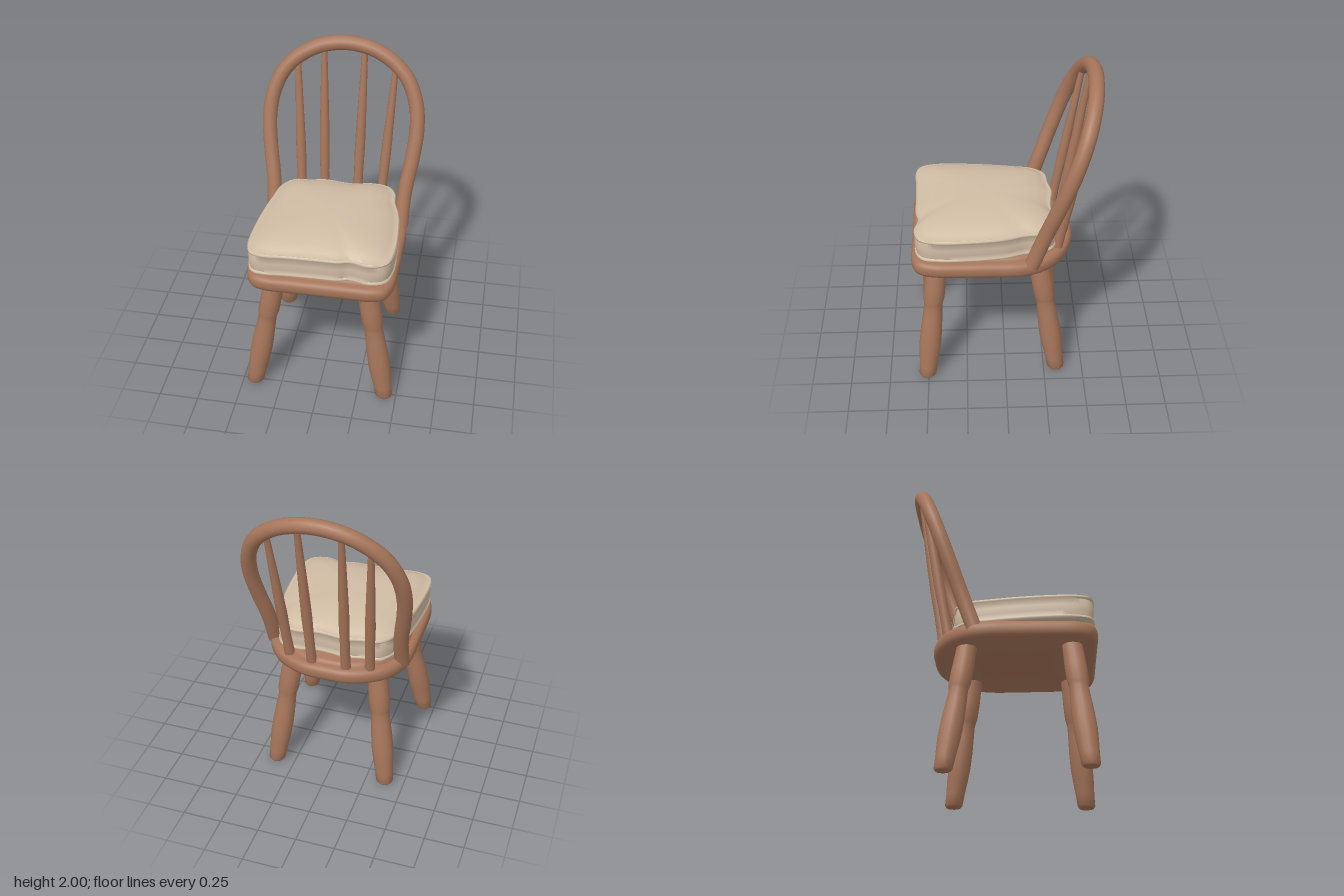
import * as THREE from 'three';
import { toCreasedNormals } from 'three/addons/utils/BufferGeometryUtils.js';

const wood = new THREE.MeshStandardMaterial({ color: 0xa6755a });
wood.name = 'wood';
const fabric = new THREE.MeshStandardMaterial({ color: 0xd0bca4 });
fabric.name = 'cushion fabric';

const pts2 = (list) => list.map(([x, y]) => new THREE.Vector2(x, y));

function addMesh(group, name, geometry, material, crease = 0.8) {
  const mesh = new THREE.Mesh(toCreasedNormals(geometry, crease), material);
  mesh.name = name;
  group.add(mesh);
  return mesh;
}

// Layered slab: profile rows are [inset from the outline, y]; the last ones may be
// scaled rows [scale, y] that run to the middle.
function outlineSlab(outline, centreZ, profile, segments = 96) {
  const curve = new THREE.CatmullRomCurve3(
    outline.map(([x, z]) => new THREE.Vector3(x, 0, z)), true, 'centripetal');
  const geo = new THREE.LatheGeometry(pts2(profile), segments);
  const pos = geo.attributes.position;
  const rows = profile.length;
  for (let i = 0; i < pos.count; i++) {
    const [scale, y] = profile[i % rows];
    const p = curve.getPoint((Math.floor(i / rows) / segments) % 1);
    pos.setXYZ(i, p.x * scale, y, centreZ + (p.z - centreZ) * scale);
  }
  return geo;
}

// Turned post: a lathe whose rings are shifted along a leaning centre line.
function leaningPost(profile, base, top, sides = 16) {
  const geo = new THREE.LatheGeometry(pts2(profile), sides);
  const pos = geo.attributes.position;
  for (let i = 0; i < pos.count; i++) {
    const t = (pos.getY(i) - base[1]) / (top[1] - base[1]);
    pos.setX(i, pos.getX(i) + THREE.MathUtils.lerp(base[0], top[0], t));
    pos.setZ(i, pos.getZ(i) + THREE.MathUtils.lerp(base[2], top[2], t));
  }
  return geo;
}

export function createModel() {
  const chair = new THREE.Group();
  chair.name = 'chair';

  // Seat: square front, rounded back, soft edge and a slightly raised crown
  const rightEdge = [
    [0.2, 0.58], [0.33, 0.578], [0.41, 0.55], [0.45, 0.47], [0.462, 0.3], [0.464, 0.1],
    [0.462, -0.1], [0.43, -0.21], [0.36, -0.31], [0.26, -0.38], [0.13, -0.425],
  ];
  const leftEdge = rightEdge.map(([x, z]) => [-x, z]).reverse();
  const seatOutline = [[0, 0.58], ...rightEdge, [0, -0.43], ...leftEdge];
  addMesh(chair, 'seat', outlineSlab(seatOutline, 0.08, [
    [0, 0.805], [0.95, 0.803], [0.98, 0.812], [1, 0.835], [1, 0.868], [0.985, 0.89],
    [0.95, 0.9], [0.9, 0.9], [0.885, 0.918], [0.86, 0.925], [0, 0.925],
  ]), wood);

  // Cushion: boxed side with piping at both seams and a domed top
  const cushionOutline = [
    [-0.41, 0.54], [-0.33, 0.565], [-0.2, 0.557], [0, 0.552], [0.12, 0.55], [0.2, 0.532],
    [0.31, 0.557], [0.41, 0.52], [0.445, 0.42], [0.445, 0.2], [0.422, 0], [0.385, -0.12],
    [0.37, -0.23], [0.32, -0.3], [0.2, -0.32], [0.1, -0.297], [0, -0.302], [-0.1, -0.315],
    [-0.2, -0.295], [-0.31, -0.28], [-0.375, -0.2], [-0.4, -0.08], [-0.428, 0.1],
    [-0.445, 0.3], [-0.443, 0.46],
  ];
  const cushion = outlineSlab(cushionOutline, 0.12, [
    [0, 0.912], [0.9, 0.912], [0.97, 0.918], [0.995, 0.926], [0.995, 0.936], [0.98, 0.942],
    [0.99, 0.97], [0.993, 1.01], [0.982, 1.05], [0.996, 1.056], [0.998, 1.066],
    [0.98, 1.074], [0.965, 1.072], [0.9, 1.092], [0.78, 1.114], [0.6, 1.132],
    [0.35, 1.143], [0, 1.147],
  ]);
  addMesh(chair, 'cushion', cushion, fabric, 1.0);

  // Back hoop: a bent rod lying in a plane that leans backwards
  const leanZ = (y) => -0.17 - 0.37 * (y - 0.9) / 1.05;
  const halfHoop = [
    [0.42, 0.87], [0.422, 1.0], [0.432, 1.12], [0.46, 1.3], [0.474, 1.48],
    [0.452, 1.64], [0.375, 1.79], [0.21, 1.91],
  ];
  const hoopPath = [
    ...halfHoop.map(([x, y]) => [-x, y]), [0, 1.953], ...[...halfHoop].reverse(),
  ].map(([x, y]) => new THREE.Vector3(x, y, leanZ(y)));
  addMesh(chair, 'backHoop', new THREE.TubeGeometry(
    new THREE.CatmullRomCurve3(hoopPath), 72, 0.047, 14), wood);

  // Four turned spindles between the seat and the hoop
  const spindles = new THREE.Group();
  spindles.name = 'backSpindles';
  chair.add(spindles);
  for (const [x0, z0, x1, y1] of [
    [-0.26, -0.325, -0.308, 1.83], [-0.118, -0.365, -0.146, 1.93],
    [0.1, -0.365, 0.112, 1.94], [0.258, -0.325, 0.312, 1.83],
  ]) {
    const y = (t) => 0.88 + (y1 - 0.88) * t;
    const profile = [[0.034, y(0)], [0.031, y(0.08)], [0.03, y(0.2)], [0.033, y(0.36)],
      [0.031, y(0.5)], [0.026, y(0.7)], [0.021, y(0.88)], [0.018, y(1)]];
    addMesh(spindles, 'spindle',
      leaningPost(profile, [x0, 0.88, z0], [x1, y1, leanZ(y1)], 12), wood);
  }

  // Splayed turned legs
  const legProfile = [
    [0, 0], [0.046, 0.002], [0.055, 0.014], [0.058, 0.08], [0.066, 0.17], [0.07, 0.25],
    [0.068, 0.34], [0.062, 0.44], [0.058, 0.51], [0.061, 0.535], [0.067, 0.56],
    [0.067, 0.66], [0.064, 0.74], [0.062, 0.82],
  ];
  for (const side of [-1, 1]) {
    addMesh(chair, side > 0 ? 'frontLegLeft' : 'frontLegRight',
      leaningPost(legProfile, [side * 0.424, 0, 0.508], [side * 0.285, 0.82, 0.424]), wood);
    addMesh(chair, side > 0 ? 'rearLegLeft' : 'rearLegRight',
      leaningPost(legProfile, [side * 0.375, 0, -0.33], [side * 0.275, 0.82, -0.21]), wood);
  }
  return chair;
}
